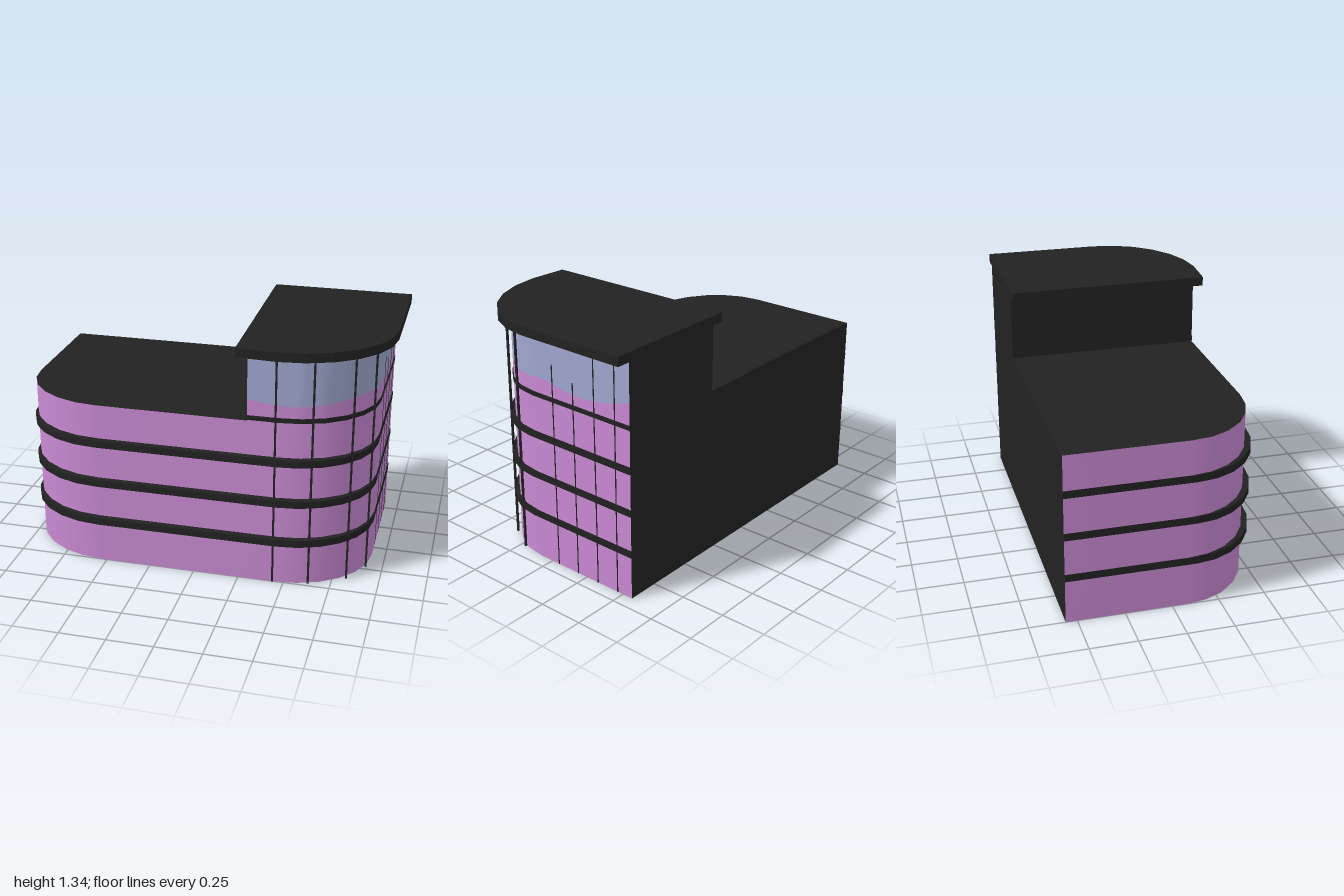
import * as THREE from 'three';

const BACK = -0.56, ROOF = 0.93, TOP = 1.285, STEP = 0.29;
// heights of the pane edge, every 0.1 along the tower wall
const WAVE = [1.05, 1.035, 1.025, 1.025, 1.03, 1.045, 1.05, 1.05, 1.035, 1.048,
  1.035, 1.018, 1.015, 1.025, 1.045, 1.08, 1.08];

// quarter ellipse from the front edge round to one side (dir +1 right, -1 left)
function corner(cx, cz, rx, rz, dir) {
  const pts = [];
  for (let i = 0; i <= 6; i++) {
    const a = (i / 6) * Math.PI / 2;
    pts.push([cx + dir * rx * Math.sin(a), cz + rz * Math.cos(a)]);
  }
  return pts;
}

// prism standing on a plan outline of [x, z] points
function prism(pts, y, h) {
  const shape = new THREE.Shape(pts.map(([x, z]) => new THREE.Vector2(x, -z)));
  const g = new THREE.ExtrudeGeometry(shape, { depth: h, bevelEnabled: false });
  return g.rotateX(-Math.PI / 2).translate(0, y, 0);
}

// smooth vertical sheet along a plan path, between two heights given per arc length
function sheet(path, low, high) {
  const pos = [], idx = [];
  let s = 0;
  path.forEach(([x, z], i) => {
    if (i) s += Math.hypot(x - path[i - 1][0], z - path[i - 1][1]);
    pos.push(x, low(s), z, x, high(s), z);
    if (i) {
      const a = 2 * i - 2;
      idx.push(a, a + 2, a + 3, a, a + 3, a + 1);
    }
  });
  const g = new THREE.BufferGeometry();
  g.setAttribute('position', new THREE.Float32BufferAttribute(pos, 3));
  g.setIndex(idx);
  g.computeVertexNormals();
  return g;
}

// split each path segment into short steps
function refine(path, step) {
  const out = [path[0]];
  for (let i = 1; i < path.length; i++) {
    const [a, b] = path[i - 1], [c, d] = path[i];
    const n = Math.ceil(Math.hypot(c - a, d - b) / step);
    for (let k = 1; k <= n; k++) out.push([a + (c - a) * k / n, b + (d - b) * k / n]);
  }
  return out;
}

function waveHeight(s) {
  const i = Math.min(Math.floor(s / 0.1), WAVE.length - 2);
  return WAVE[i] + (WAVE[i + 1] - WAVE[i]) * Math.min(s / 0.1 - i, 1);
}

export function createModel() {
  const group = new THREE.Group();
  const material = (name, color) => {
    const m = new THREE.MeshStandardMaterial({ color, side: THREE.DoubleSide });
    m.name = name;
    return m;
  };
  const pink = material('pink wall', 0xc98ad3);
  const blue = material('blue pane', 0xa0a8cf);
  const black = material('black trim', 0x222222);
  const add = (name, geometry, mat) => {
    const mesh = new THREE.Mesh(geometry, mat);
    mesh.name = name;
    group.add(mesh);
    return mesh;
  };

  // plan paths, running left to right round the front
  const right = corner(0.45, 0.085, 0.475, 0.415, 1);
  const left = corner(-0.525, 0.085, 0.475, 0.415, -1).reverse();
  const basePath = [[-1, BACK], ...left, ...right, [0.925, BACK]];
  const towerPath = [[STEP, 0.5], ...right, [0.925, BACK]];

  // curved walls
  add('lowerWall', sheet(basePath, () => 0, () => ROOF), pink);
  const fine = refine(towerPath, 0.04);
  add('towerWall', sheet(fine, () => ROOF, waveHeight), pink);
  add('towerPane', sheet(fine, waveHeight, () => TOP), blue);

  // flat back, roof and tower side
  const back = new THREE.Shape([[-1, 0], [0.925, 0], [0.925, TOP], [STEP, TOP], [STEP, ROOF], [-1, ROOF]]
    .map(([x, y]) => new THREE.Vector2(x, y)));
  add('backWall', new THREE.ShapeGeometry(back).rotateY(Math.PI).scale(-1, 1, 1).translate(0, 0, BACK), black);
  const roof = new THREE.Shape(basePath.map(([x, z]) => new THREE.Vector2(x, -z)));
  add('lowerRoof', new THREE.ShapeGeometry(roof).rotateX(-Math.PI / 2).translate(0, ROOF, 0), black);
  add('towerSide', sheet([[STEP, BACK], [STEP, 0.5]], () => ROOF, () => TOP), black);

  // overhanging tower roof
  add('towerRoof', prism([[0.22, BACK], [0.235, 0.54], ...corner(0.45, 0.08, 0.55, 0.475, 1), [1, BACK]],
    TOP, 0.05), black);

  // storey bands, deeper at the front and nearly flush at the sides
  const band = (path, shift, y, h) => {
    const outer = path.map(([x, z]) => [x + Math.sign(x + 0.0375) * 0.003, z === BACK ? z : z + shift]);
    const inner = path.map(([x, z]) => [x - Math.sign(x + 0.0375) * 0.006, z === BACK ? z : z - 0.006]);
    return prism([...outer, ...inner.reverse()], y, h);
  };
  [0.235, 0.467, 0.7].forEach((y, i) => add('storeyBand' + (i + 1), band(basePath, 0.035, y, 0.04), black));
  add('towerBand', band(towerPath, 0.004, 0.936, 0.025), black);

  // thin uprights on the tower corner and right wall
  const upright = (x, z, w, h) =>
    add('upright', new THREE.BoxGeometry(w, h, w).translate(x, h / 2, z), black);
  [[0.44, 0.5], [0.63, 0.474], [0.822, 0.37], [0.909, 0.22]].forEach(([x, z]) => upright(x, z, 0.01, TOP));
  [[-0.05, 1.14], [-0.19, 1.08], [-0.33, TOP], [-0.465, TOP]].forEach(([z, h]) => upright(0.924, z, 0.006, h));

  // uprights on the inside of the lower walls
  [[-0.71, 0.44], [-0.17, 0.495], [-0.035, 0.495], [0.18, 0.495],
    [-0.94, 0.26], [-0.99, 0.12], [-0.995, -0.15]].forEach(([x, z]) => upright(x, z, 0.007, ROOF));

  return group;
}
